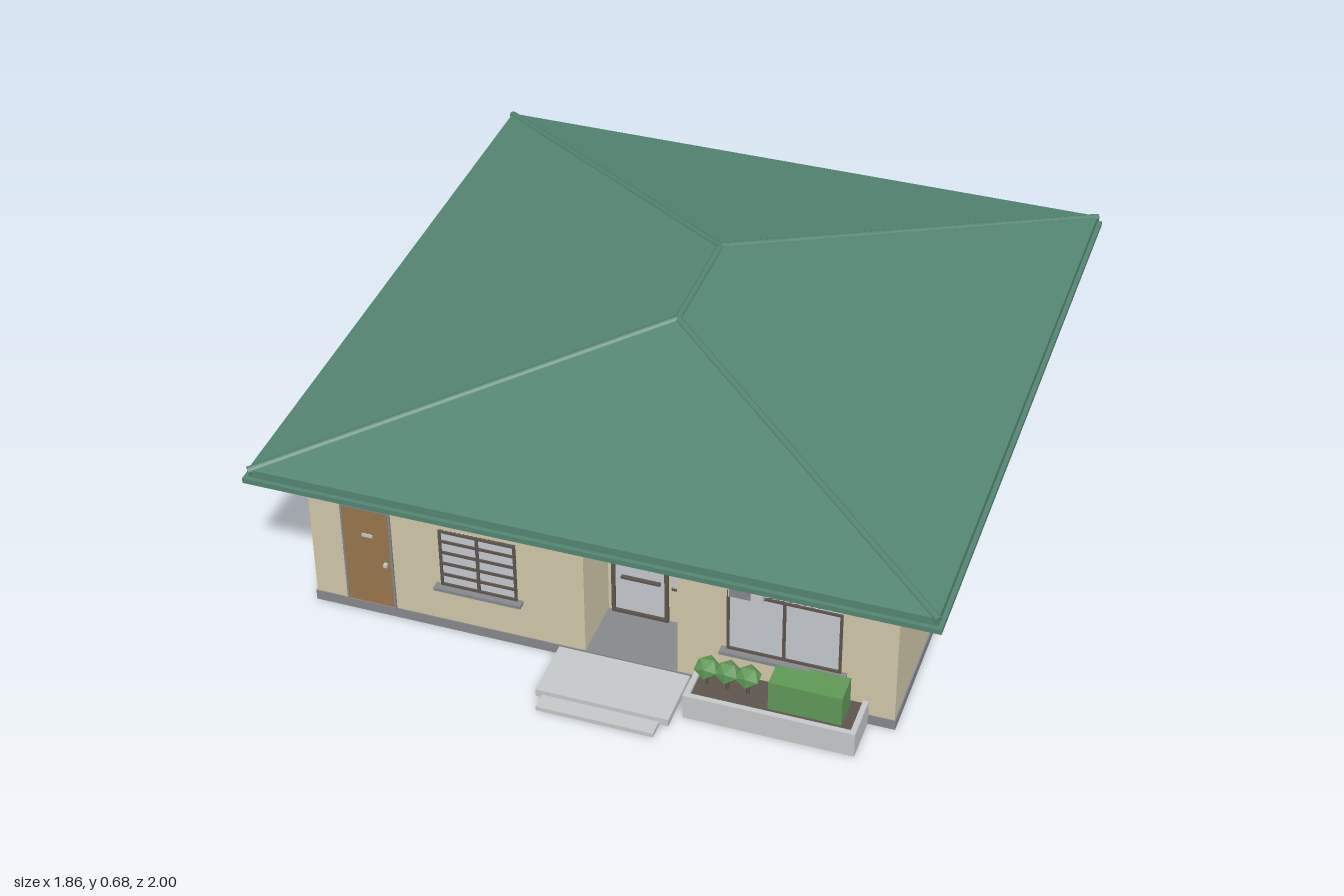
import * as THREE from 'three';

const paint = (name, color) => Object.assign(new THREE.MeshStandardMaterial({ color }), { name });

export function createModel() {
  const house = new THREE.Group();
  house.name = 'house';
  const wall = paint('cream wall', 0xcfc6a9), green = paint('roof green', 0x558573);
  const stone = paint('light stone', 0xc4c7c8), grey = paint('mid grey', 0x85878c);
  const frame = paint('dark frame', 0x5e554e), shade = paint('dark glass', 0x615c59);
  const glass = paint('pale glass', 0xc3c7cc), wood = paint('door wood', 0x97744c);
  const leaf = paint('leaf green', 0x5f9757);

  // Box given by its limits on each axis
  function box(parent, name, mat, x0, x1, y0, y1, z0, z1) {
    const m = new THREE.Mesh(new THREE.BoxGeometry(x1 - x0, y1 - y0, z1 - z0), mat);
    m.position.set((x0 + x1) / 2, (y0 + y1) / 2, (z0 + z1) / 2);
    m.name = name;
    parent.add(m);
    return m;
  }
  // Group whose local +z points out of a wall
  function side(name, x, z, turn) {
    const g = new THREE.Group();
    g.name = name;
    g.position.set(x, 0, z);
    g.rotation.y = turn;
    house.add(g);
    return g;
  }
  // Rectangular frame made of four bars
  function border(parent, name, mat, x0, x1, y0, y1, t, depth) {
    box(parent, name, mat, x0, x0 + t, y0, y1, -0.002, depth);
    box(parent, name, mat, x1 - t, x1, y0, y1, -0.002, depth);
    box(parent, name, mat, x0, x1, y1 - t, y1, -0.002, depth);
    box(parent, name, mat, x0, x1, y0, y0 + t, -0.002, depth);
  }
  // Framed window with a mullion, a sill and optional louvre bars
  function paneWindow(parent, x0, x1, y0, y1, bars = 0) {
    const c = (x0 + x1) / 2;
    box(parent, 'windowPane', glass, x0, x1, y0, y1, -0.002, 0.003);
    border(parent, 'windowFrame', frame, x0, x1, y0, y1, 0.007, 0.008);
    box(parent, 'windowMullion', frame, c - 0.004, c + 0.004, y0, y1, 0, 0.008);
    for (let i = 1; i <= bars; i++) {
      const y = y0 + (y1 - y0) * i / (bars + 1);
      box(parent, 'louvreBar', frame, x0, x1, y - 0.004, y + 0.004, 0, 0.007);
    }
    box(parent, 'windowSill', grey, x0 - 0.015, x1 + 0.015, y0 - 0.01, y0, -0.002, 0.025);
  }
  function darkWindow(parent, x0, x1) {
    box(parent, 'darkWindow', shade, x0, x1, 0.178, 0.355, -0.002, 0.003);
    box(parent, 'windowSill', grey, x0 - 0.012, x1 + 0.012, 0.168, 0.178, -0.002, 0.03);
  }
  // Air conditioner with cap and grille
  function cooler(parent, x0, x1, y0, y1) {
    box(parent, 'coolerBody', stone, x0, x1, y0, y1 - 0.006, -0.002, 0.045);
    box(parent, 'coolerCap', frame, x0 - 0.004, x1 + 0.004, y1 - 0.006, y1, -0.002, 0.05);
    box(parent, 'coolerGrille', grey, x0 + 0.004, x0 + (x1 - x0) * 0.65, y0 + 0.004, y1 - 0.01, 0.044, 0.048);
  }

  // Walls with a notch for the porch, lintel and base
  const plan = new THREE.Shape([
    [-0.81, -0.775], [-0.04, -0.775], [-0.04, -0.595], [0.215, -0.595],
    [0.215, -0.775], [0.80, -0.775], [0.80, 0.87], [-0.81, 0.87],
  ].map(([x, y]) => new THREE.Vector2(x, y)));
  const walls = new THREE.Mesh(new THREE.ExtrudeGeometry(plan, { depth: 0.435, bevelEnabled: false }), wall);
  walls.rotation.x = -Math.PI / 2;
  walls.position.y = 0.025;
  walls.name = 'walls';
  house.add(walls);
  box(house, 'porchLintel', wall, -0.04, 0.215, 0.41, 0.46, 0.595, 0.775);
  box(house, 'base', grey, -0.813, 0.803, 0, 0.03, -0.873, 0.778);

  // Eaves
  const cz = -0.0525;
  box(house, 'soffit', stone, -0.922, 0.922, 0.456, 0.462, cz - 0.94, cz + 0.94);
  box(house, 'gutter', green, -0.93, 0.93, 0.459, 0.474, -1, 0.895);
  box(house, 'fascia', green, -0.918, 0.918, 0.474, 0.497, -0.988, 0.883);

  // Hipped roof
  const v = (x, y, z) => new THREE.Vector3(x, y, z);
  const fl = v(-0.918, 0.497, 0.883), fr = v(0.918, 0.497, 0.883);
  const bl = v(-0.918, 0.497, -0.988), br = v(0.918, 0.497, -0.988);
  const rf = v(0, 0.677, 0.13), rb = v(0, 0.677, -0.235);
  const tris = [fl, fr, rf, br, bl, rb, fr, br, rb, fr, rb, rf, bl, fl, rf, bl, rf, rb];
  const roofGeo = new THREE.BufferGeometry().setFromPoints(tris);
  roofGeo.computeVertexNormals();
  const roof = new THREE.Mesh(roofGeo, green);
  roof.name = 'roof';
  house.add(roof);

  // Ridge and hip caps
  for (const [a, b] of [[rf, rb], [fl, rf], [fr, rf], [bl, rb], [br, rb]]) {
    const cap = new THREE.Mesh(new THREE.CylinderGeometry(0.011, 0.011, a.distanceTo(b), 8), green);
    cap.position.copy(a).add(b).multiplyScalar(0.5);
    cap.position.y -= 0.004;
    cap.quaternion.setFromUnitVectors(v(0, 1, 0), b.clone().sub(a).normalize());
    cap.name = 'ridgeCap';
    house.add(cap);
  }

  // Front: wooden door, louvred window, wide window
  const front = side('frontFace', 0, 0.775, 0);
  box(front, 'sideDoor', wood, -0.715, -0.58, 0.03, 0.355, -0.002, 0.004);
  border(front, 'sideDoorFrame', grey, -0.718, -0.577, 0.028, 0.358, 0.005, 0.007);
  box(front, 'doorPlate', stone, -0.66, -0.63, 0.262, 0.272, 0, 0.007);
  box(front, 'doorKnob', stone, -0.601, -0.592, 0.175, 0.185, 0, 0.015);
  paneWindow(front, -0.44, -0.225, 0.155, 0.34, 4);
  paneWindow(front, 0.35, 0.655, 0.155, 0.35);
  cooler(front, 0.365, 0.455, 0.365, 0.432);

  // Porch: glazed door, transom, sidelight
  const porch = side('porchFace', 0, 0.595, 0);
  box(porch, 'glassDoor', glass, -0.025, 0.128, 0.032, 0.36, -0.002, 0.003);
  border(porch, 'glassDoorFrame', frame, -0.028, 0.131, 0.03, 0.363, 0.01, 0.01);
  box(porch, 'transomBar', frame, -0.02, 0.125, 0.295, 0.303, 0, 0.01);
  box(porch, 'doorHandle', frame, 0, 0.11, 0.154, 0.16, 0, 0.014);
  box(porch, 'porchPanel', stone, -0.03, 0.131, 0.37, 0.402, -0.002, 0.004);
  box(porch, 'porchStrip', wood, -0.02, 0.125, 0.383, 0.396, 0, 0.008);
  box(porch, 'sidelight', glass, 0.142, 0.213, 0.15, 0.33, -0.002, 0.004);
  box(porch, 'sidelightSill', frame, 0.14, 0.214, 0.145, 0.151, -0.002, 0.008);
  cooler(porch, 0.143, 0.208, 0.35, 0.405);

  // Plain windows on the +x side and the back
  const east = side('leftFace', 0.80, 0, Math.PI / 2);
  darkWindow(east, -0.333, -0.105);
  darkWindow(east, 0.278, 0.505);
  const back = side('backFace', 0, -0.87, Math.PI);
  darkWindow(back, -0.53, -0.30);
  darkWindow(back, 0.30, 0.53);

  // Windows, coolers and pipes on the -x side
  const west = side('rightFace', -0.81, 0, -Math.PI / 2);
  for (const x of [-0.68, -0.19, 0.36]) paneWindow(west, x, x + 0.21, 0.175, 0.355);
  for (const x of [-0.41, 0.12]) cooler(west, x, x + 0.1, 0.23, 0.295);
  for (const [x, top] of [[-0.575, 0.165], [0.69, 0.455]]) {
    const pipe = new THREE.Mesh(new THREE.CylinderGeometry(0.006, 0.006, top - 0.03, 8), grey);
    pipe.position.set(x, (top + 0.03) / 2, 0.007);
    pipe.name = 'drainPipe';
    west.add(pipe);
  }

  // Entrance steps
  box(house, 'upperStep', stone, -0.113, 0.25, 0.004, 0.026, 0.77, 0.953);
  box(house, 'lowerStep', stone, -0.095, 0.225, 0, 0.013, 0.77, 1);

  // Planter with hedge and three round shrubs
  box(house, 'planterFront', stone, 0.272, 0.73, 0, 0.075, 0.89, 0.905);
  for (const x of [0.272, 0.715]) box(house, 'planterEnd', stone, x, x + 0.015, 0, 0.075, 0.775, 0.89);
  box(house, 'planterSoil', frame, 0.287, 0.715, 0.055, 0.065, 0.775, 0.89);
  box(house, 'hedge', leaf, 0.49, 0.685, 0.065, 0.155, 0.79, 0.872);
  for (const x of [0.315, 0.37, 0.425]) {
    const trunk = new THREE.Mesh(new THREE.CylinderGeometry(0.005, 0.005, 0.05, 6), frame);
    trunk.position.set(x, 0.085, 0.832);
    trunk.name = 'shrubTrunk';
    const crown = new THREE.Mesh(new THREE.IcosahedronGeometry(0.036, 0).scale(1, 0.85, 1), leaf.clone());
    crown.material = leaf;
    crown.geometry.computeVertexNormals();
    crown.position.set(x, 0.122, 0.832);
    crown.name = 'shrubCrown';
    house.add(trunk, crown);
  }
  return house;
}
